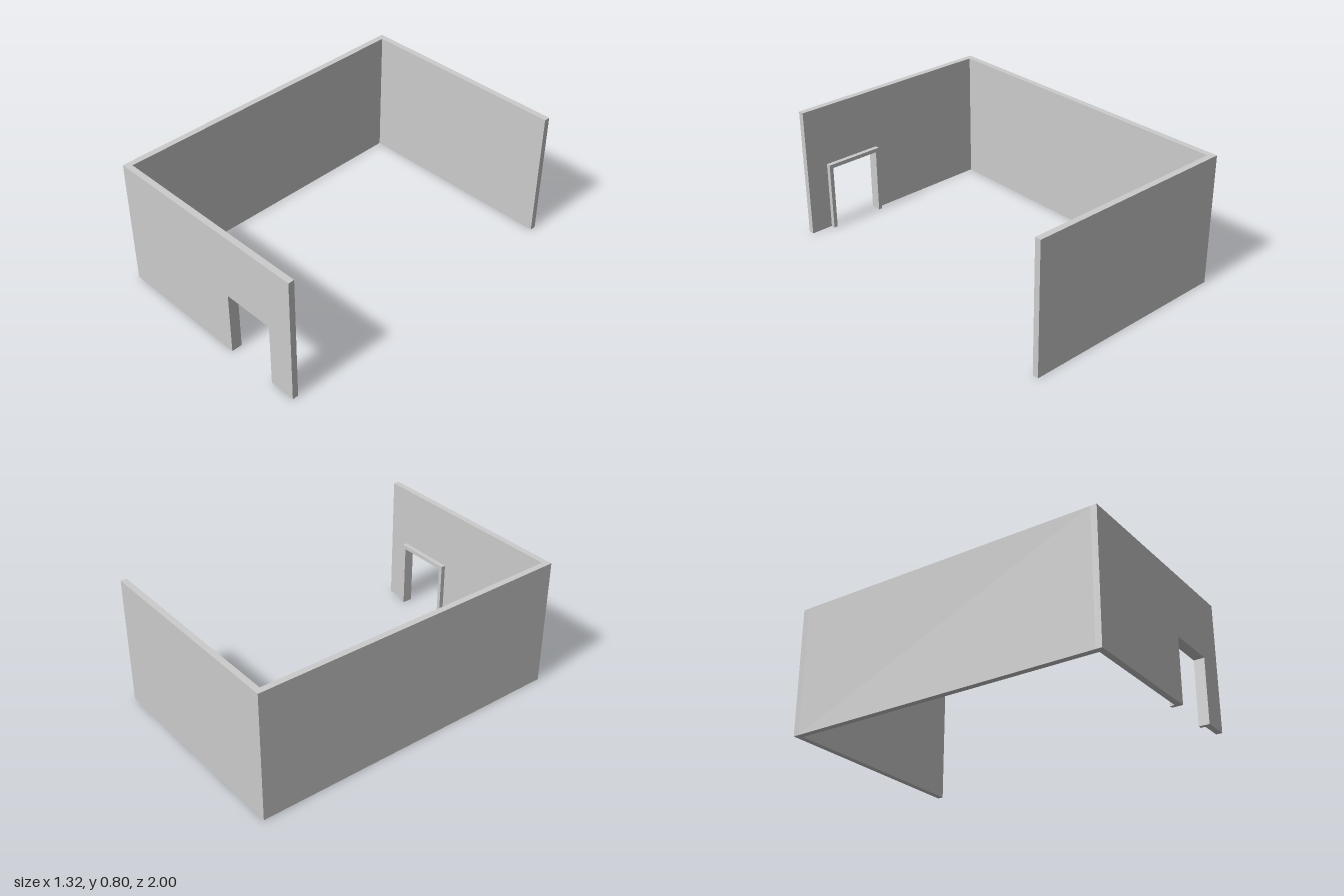
import * as THREE from 'three';

const HALF_W = 0.66, HALF_D = 1, HEIGHT = 0.8, WALL = 0.037;
const DOOR = { left: 0.178, right: 0.498, top: 0.402 };
const TRIM = 0.024, TRIM_DEPTH = 0.028;

// Upright panel from x0 to x1 with the doorway cut out of its lower edge
function doorwayPanel(x0, x1, height, depth) {
  const shape = new THREE.Shape([
    [x0, 0], [DOOR.left, 0], [DOOR.left, DOOR.top], [DOOR.right, DOOR.top],
    [DOOR.right, 0], [x1, 0], [x1, height], [x0, height],
  ].map(([x, y]) => new THREE.Vector2(x, y)));
  return new THREE.ExtrudeGeometry(shape, { depth, bevelEnabled: false });
}

export function createModel() {
  const group = new THREE.Group();
  const material = new THREE.MeshStandardMaterial({ color: 0xcccccc });

  function add(name, geometry, x, y, z) {
    const mesh = new THREE.Mesh(geometry, material);
    mesh.name = name;
    mesh.position.set(x, y, z);
    group.add(mesh);
  }

  // Front wall with doorway, and the trim around it on the inner face
  const inner = HALF_D - WALL;
  add('frontWall', doorwayPanel(-HALF_W, HALF_W, HEIGHT, WALL), 0, 0, inner);
  add('doorTrim', doorwayPanel(DOOR.left - TRIM, DOOR.right + TRIM, DOOR.top + TRIM, TRIM_DEPTH),
    0, 0, inner - TRIM_DEPTH);

  // Plain back wall and the side wall joining the two
  add('backWall', new THREE.BoxGeometry(2 * HALF_W, HEIGHT, WALL), 0, HEIGHT / 2, -HALF_D + WALL / 2);
  add('sideWall', new THREE.BoxGeometry(WALL, HEIGHT, 2 * inner), -HALF_W + WALL / 2, HEIGHT / 2, 0);

  return group;
}
